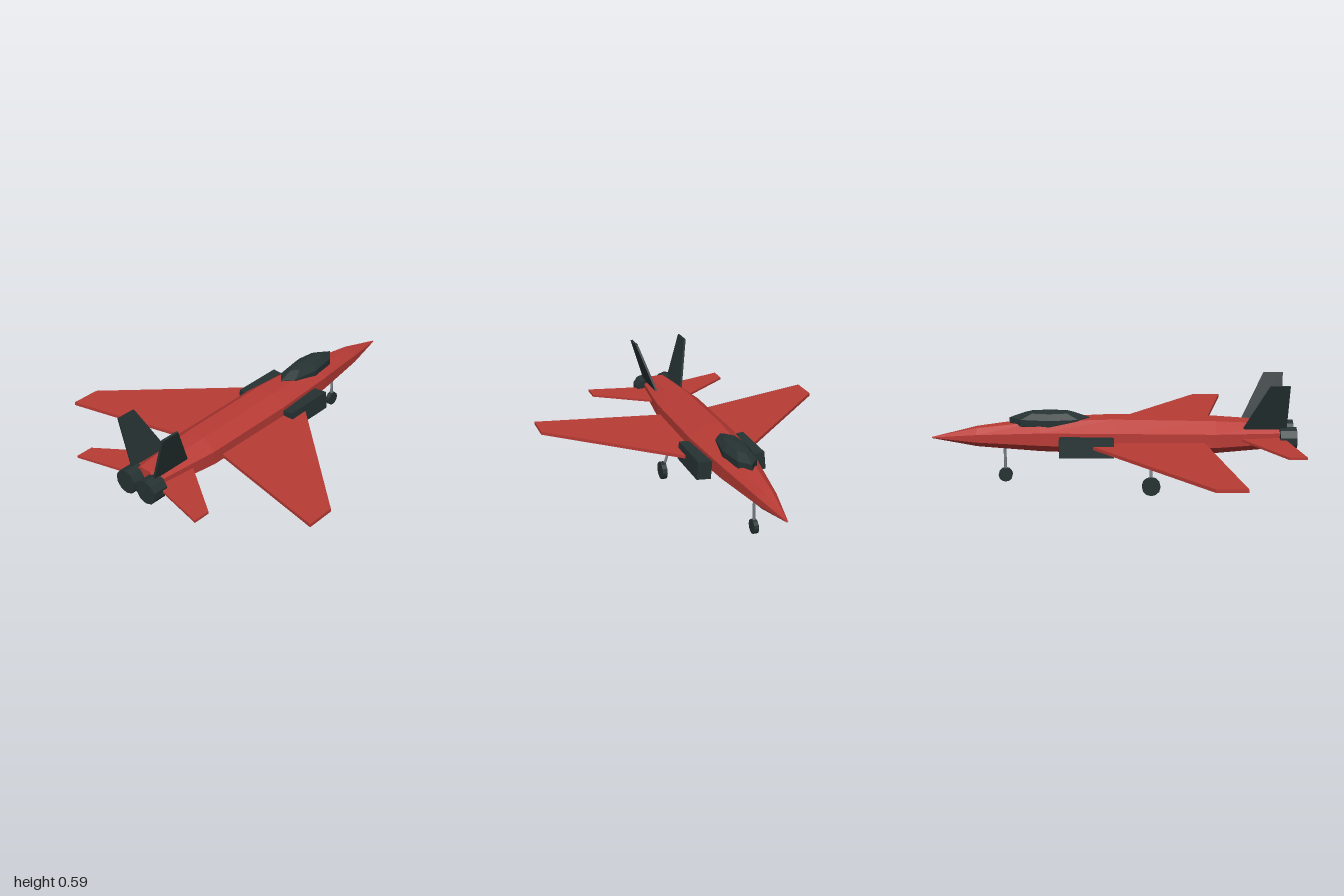
import * as THREE from 'three';

const flat = (name, color) => {
  const m = new THREE.MeshStandardMaterial({ color, flatShading: true });
  m.name = name;
  return m;
};

// Octagonal body lofted from sections [z, halfWidth, bottom, top]
function loftBody(sections) {
  const ratio = Math.tan(Math.PI / 8);
  const rings = sections.map(([z, w, y0, y1]) => {
    const cy = (y0 + y1) / 2, h = (y1 - y0) / 2;
    return Array.from({ length: 8 }, (_, k) => {
      const a = (k - 0.5) * Math.PI / 4, s = Math.hypot(1, ratio);
      return [Math.cos(a) * s * w, cy + Math.sin(a) * s * h, z];
    });
  });
  const pos = [];
  for (let i = 0; i < rings.length - 1; i++) {
    for (let k = 0; k < 8; k++) {
      const n = (k + 1) % 8;
      const a = rings[i][k], b = rings[i][n], c = rings[i + 1][n], d = rings[i + 1][k];
      pos.push(...a, ...b, ...d, ...b, ...c, ...d);
    }
  }
  const last = rings[rings.length - 1];
  for (let k = 1; k < 7; k++) pos.push(...last[0], ...last[k], ...last[k + 1]);
  const g = new THREE.BufferGeometry();
  g.setAttribute('position', new THREE.Float32BufferAttribute(pos, 3));
  g.computeVertexNormals();
  return g;
}

// Thin horizontal plate from an outline of [x, z] points, centred on y = 0
function plate(points, side, thickness) {
  const shape = new THREE.Shape(points.map(([x, z]) => new THREE.Vector2(x * side, z)));
  const g = new THREE.ExtrudeGeometry(shape, { depth: thickness, bevelEnabled: false });
  g.translate(0, 0, -thickness / 2);
  return g.rotateX(Math.PI / 2);
}

export function createModel() {
  const model = new THREE.Group();
  model.name = 'jet';
  const red = flat('red paint', 0xb93b35);
  const dark = flat('dark panels', 0x263233);
  const steel = flat('steel', 0x757c82);

  const add = (name, geometry, material, x = 0, y = 0, z = 0) => {
    const mesh = new THREE.Mesh(geometry, material);
    mesh.name = name;
    mesh.position.set(x, y, z);
    model.add(mesh);
    return mesh;
  };

  // Landing leg: strut between two points with a wheel at the lower end
  const leg = (name, top, hub, radius, width) => {
    const a = new THREE.Vector3(...top), b = new THREE.Vector3(...hub);
    const dir = a.clone().sub(b);
    const mid = a.clone().add(b).multiplyScalar(0.5);
    const strut = add(name + 'Strut', new THREE.CylinderGeometry(0.008, 0.008, dir.length(), 8), steel, mid.x, mid.y, mid.z);
    strut.quaternion.setFromUnitVectors(new THREE.Vector3(0, 1, 0), dir.normalize());
    const wheel = new THREE.CylinderGeometry(radius, radius, width, 12).rotateZ(Math.PI / 2);
    add(name + 'Wheel', wheel, dark, ...hub);
  };

  // Fuselage
  add('fuselage', loftBody([
    [-1, 0.003, 0.254, 0.26],
    [-0.75, 0.053, 0.214, 0.318],
    [-0.4, 0.102, 0.192, 0.362],
    [0, 0.13, 0.179, 0.376],
    [0.55, 0.127, 0.183, 0.366],
    [0.92, 0.085, 0.211, 0.345],
  ]), red);

  // Canopy
  add('canopy', new THREE.SphereGeometry(1, 8, 5).scale(0.079, 0.06, 0.231), dark, 0, 0.355, -0.35);

  for (const side of [1, -1]) {
    const label = side > 0 ? 'left' : 'right';

    // Wing and tailplane
    add(label + 'Wing', plate([[0.06, -0.235], [0.835, 0.49], [0.835, 0.65], [0.06, 0.475]], side, 0.018), red, 0, 0.257, 0);
    add(label + 'Tailplane', plate([[0.05, 0.65], [0.415, 0.905], [0.415, 1], [0.05, 0.91]], side, 0.013), red, 0, 0.275, 0);

    // Tail fin, leaning outward
    const fin = add(label + 'Fin', plate([[0, 0.7], [0.269, 0.83], [0.269, 0.935], [0, 0.935]], side, 0.012), dark, 0.077 * side, 0.33, 0);
    fin.rotation.z = side * Math.atan2(0.258, 0.075);

    // Air intake
    const intake = add(label + 'Intake', new THREE.BoxGeometry(0.08, 0.1, 0.295), dark, 0.153 * side, 0.249, -0.147);
    intake.rotation.z = 0.09 * side;

    // Exhaust nozzle
    add(label + 'Nozzle', new THREE.CylinderGeometry(0.066, 0.066, 0.09, 10).rotateX(Math.PI / 2), dark, 0.069 * side, 0.273, 0.944);

    // Main gear
    leg(label + 'Gear', [0.165 * side, 0.21, 0.2], [0.218 * side, 0.05, 0.2], 0.05, 0.028);
  }

  // Nose gear
  leg('noseGear', [0, 0.22, -0.6], [0, 0.042, -0.6], 0.039, 0.025);

  return model;
}
